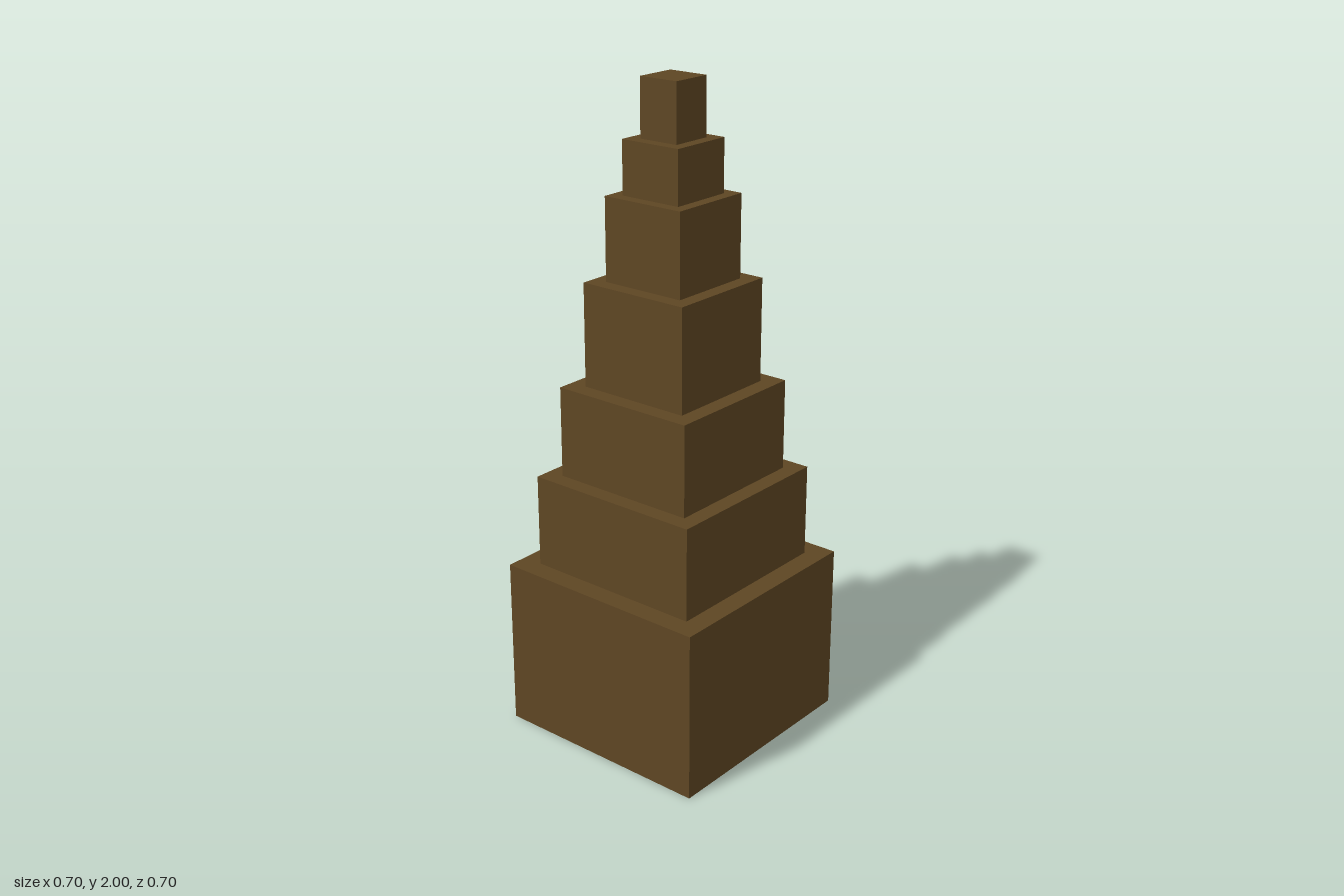
import * as THREE from 'three';

export function createModel() {
  const model = new THREE.Group();
  model.name = 'steppedTower';

  const brown = new THREE.MeshStandardMaterial({ color: 0x5e4623 });
  brown.name = 'dark brown';

  // Square tiers from the ground up: [width, top height]
  const tiers = [
    [0.704, 0.53],
    [0.574, 0.818],
    [0.469, 1.099],
    [0.364, 1.416],
    [0.273, 1.667],
    [0.202, 1.827],
    [0.13, 2],
  ];

  // Each tier stands on the one below
  let bottom = 0;
  tiers.forEach(([width, top], i) => {
    const height = top - bottom;
    const tier = new THREE.Mesh(new THREE.BoxGeometry(width, height, width), brown);
    tier.name = i === 0 ? 'base' : i === tiers.length - 1 ? 'topBlock' : `tier${i}`;
    tier.position.y = bottom + height / 2;
    model.add(tier);
    bottom = top;
  });

  return model;
}
